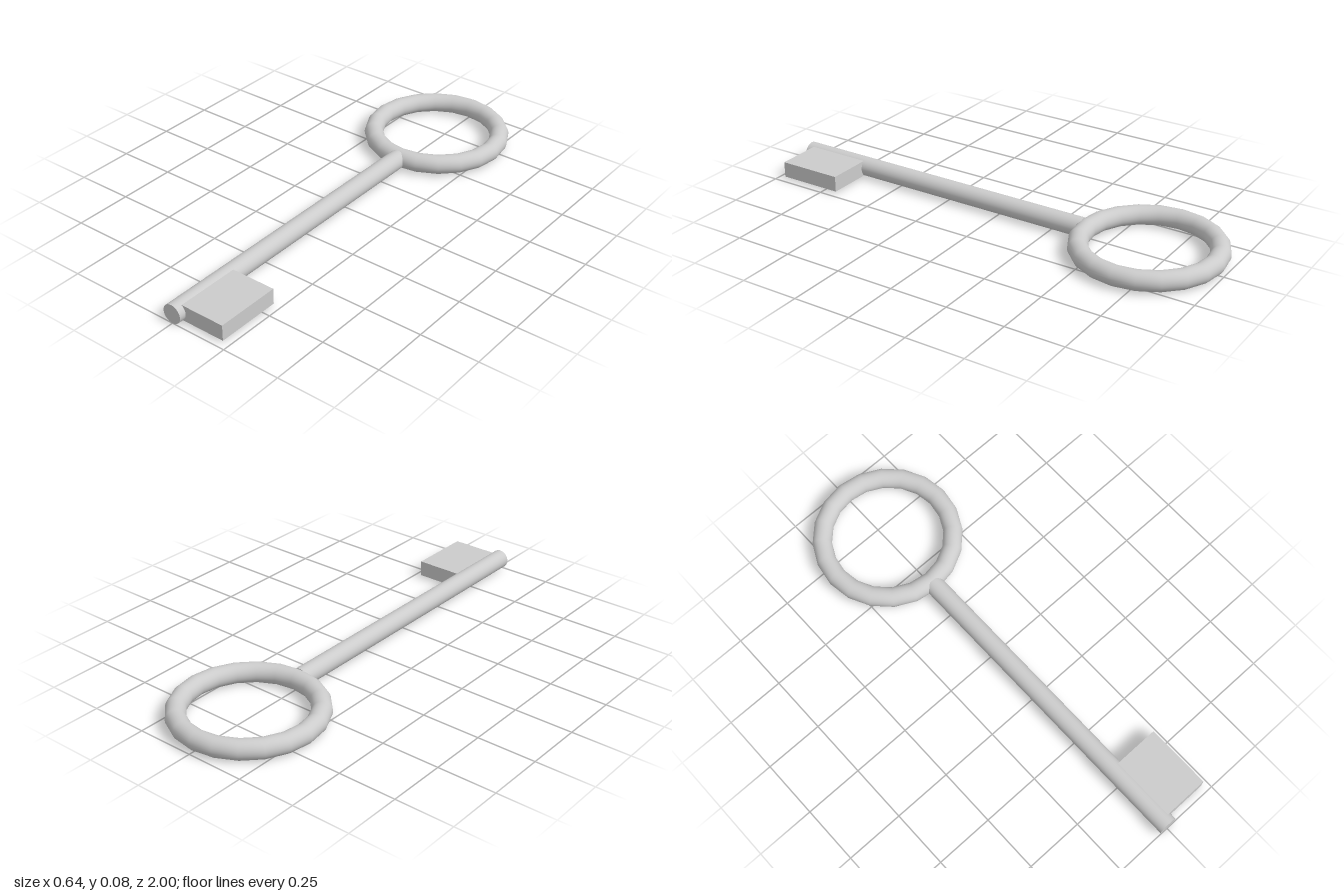
import * as THREE from 'three';

export function createModel() {
  const key = new THREE.Group();
  key.name = 'key';
  const material = new THREE.MeshStandardMaterial({ color: 0xcccccc });
  const r = 0.041; // shared thickness radius of shaft and ring

  const add = (name, geometry, x, z) => {
    const mesh = new THREE.Mesh(geometry, material);
    mesh.name = name;
    mesh.position.set(x, r, z);
    key.add(mesh);
  };

  // Ring handle lying flat at the back
  const ringRadius = 0.277;
  const ring = new THREE.TorusGeometry(ringRadius, r, 32, 20).rotateX(-Math.PI / 2);
  add('ringHandle', ring, 0, -1 + ringRadius + r);

  // Round shaft running forward from the ring
  const shaftBack = -0.39, shaftFront = 1;
  const shaft = new THREE.CylinderGeometry(r, r, shaftFront - shaftBack, 32).rotateX(Math.PI / 2);
  add('shaft', shaft, 0, (shaftFront + shaftBack) / 2);

  // Rectangular bit on the left side near the tip
  add('bit', new THREE.BoxGeometry(0.2, 0.068, 0.28), 0.12, 0.83);

  return key;
}
